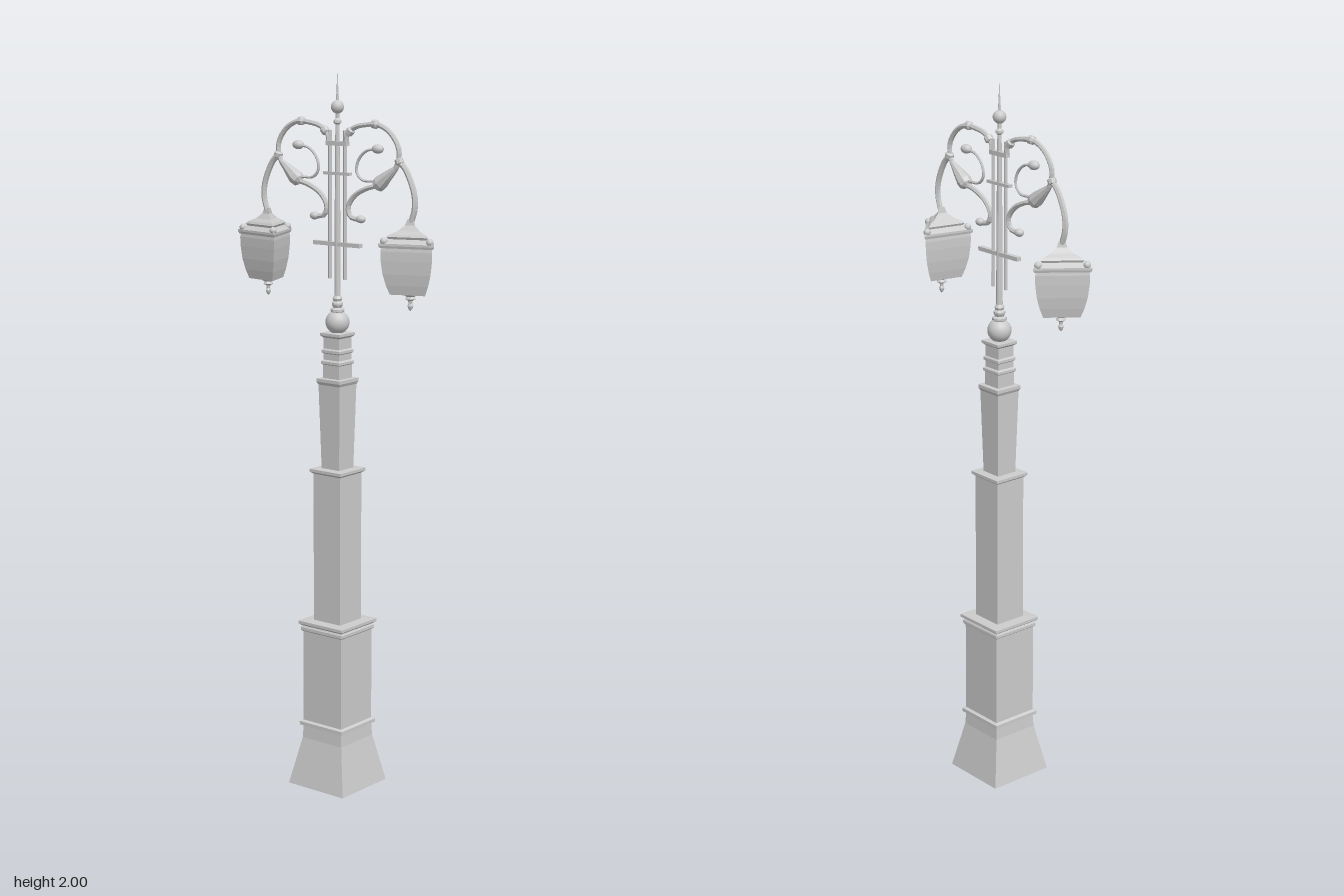
import * as THREE from 'three';

const grey = new THREE.MeshStandardMaterial({ color: 0xcccccc, flatShading: true, side: THREE.DoubleSide });
const smooth = new THREE.MeshStandardMaterial({ color: 0xcccccc });
const rad = THREE.MathUtils.degToRad;

function add(parent, name, geometry, x = 0, y = 0, z = 0, material = grey) {
  const mesh = new THREE.Mesh(geometry, material);
  mesh.name = name;
  mesh.position.set(x, y, z);
  parent.add(mesh);
  return mesh;
}

// Turned or polygonal solid from [radius, height] pairs, bottom to top
function turned(profile, sides, phi = 0, scale = 1) {
  return new THREE.LatheGeometry(profile.map(([r, y]) => new THREE.Vector2(r * scale, y)), sides, phi);
}

const ball = (r) => new THREE.SphereGeometry(r, 14, 10);

// Bent bar through [x, y] points in the plane z = 0
function bar(points, side, radius, segments) {
  const curve = new THREE.CatmullRomCurve3(points.map(([x, y]) => new THREE.Vector3(side * x, y, 0)));
  return new THREE.TubeGeometry(curve, segments, radius, 6);
}

// Short turned piece laid along the line from a to b
function along(parent, name, profile, a, b, side) {
  const from = new THREE.Vector3(side * a[0], a[1], 0);
  const dir = new THREE.Vector3(side * b[0], b[1], 0).sub(from);
  const mesh = add(parent, name, turned(profile(dir.length()), 8), from.x, from.y, 0);
  mesh.quaternion.setFromUnitVectors(new THREE.Vector3(0, 1, 0), dir.normalize());
}

// Three-sided lantern hanging from its apex
function lantern(turn) {
  const lamp = new THREE.Group();
  add(lamp, 'lanternGlass', turned([[0, 1.42], [0.056, 1.42], [0.067, 1.445], [0.076, 1.475], [0.081, 1.51],
    [0.082, 1.535], [0.078, 1.55]], 3));
  add(lamp, 'lanternRoof', turned([[0, 1.544], [0.084, 1.544], [0.088, 1.55], [0.088, 1.556], [0.072, 1.562],
    [0.06, 1.567], [0.066, 1.573], [0.058, 1.579], [0.035, 1.588], [0.016, 1.602], [0.01, 1.618], [0, 1.618]], 3));
  add(lamp, 'lanternFinial', turned([[0, 1.375], [0.005, 1.38], [0.008, 1.388], [0.005, 1.395], [0.006, 1.402],
    [0.014, 1.407], [0.01, 1.413], [0.026, 1.421]], 8));
  for (let i = 0; i < 3; i++) {
    const a = (i * 2 * Math.PI) / 3;
    add(lamp, 'lanternCornerBall', ball(0.01), 0.073 * Math.sin(a), 1.562, 0.073 * Math.cos(a), smooth);
  }
  lamp.rotation.y = turn;
  return lamp;
}

// Scrolled bracket on one side, ending in a lantern
function bracket(side) {
  const arm = new THREE.Group();
  add(arm, 'scrollArm', bar([[0.028, 1.80], [0.035, 1.832], [0.06, 1.85], [0.1, 1.858], [0.135, 1.86], [0.178, 1.84],
    [0.206, 1.80], [0.205, 1.765], [0.19, 1.738], [0.155, 1.705], [0.1, 1.69], [0.058, 1.668], [0.037, 1.637],
    [0.045, 1.612], [0.074, 1.605]], side, 0.007, 44));
  add(arm, 'lanternArm', bar([[0.203, 1.768], [0.225, 1.752], [0.246, 1.717], [0.259, 1.68], [0.26, 1.645],
    [0.249, 1.61]], side, 0.008, 16));
  add(arm, 'innerCurl', bar([[0.137, 1.795], [0.1, 1.79], [0.073, 1.766], [0.066, 1.733], [0.085, 1.712],
    [0.12, 1.71], [0.145, 1.708]], side, 0.004, 22));

  // Scroll ends
  add(arm, 'curlBud', ball(0.014), side * 0.137, 1.796, 0, smooth).scale.set(1.25, 0.9, 1);
  add(arm, 'scrollBud', ball(0.012), side * 0.08, 1.607, 0, smooth).scale.set(1.2, 0.9, 1);

  // Leaf cup and collars gripping the bars
  along(arm, 'leafCup', (l) => [[0.007, 0], [0.01, l * 0.15], [0.015, l * 0.4], [0.021, l * 0.75],
    [0.019, l * 0.9], [0.007, l]], [0.196, 1.748], [0.13, 1.694], side);
  const collar = (l) => [[0.006, 0], [0.012, l * 0.2], [0.012, l * 0.8], [0.006, l]];
  along(arm, 'armCollar', collar, [0.116, 1.861], [0.138, 1.86], side);
  along(arm, 'armCollar', collar, [0.036, 1.83], [0.05, 1.846], side);
  along(arm, 'armCollar', collar, [0.205, 1.775], [0.212, 1.758], side);

  const lamp = lantern(rad(side > 0 ? 80 : -68));
  lamp.name = 'lantern';
  lamp.position.x = side * 0.248;
  arm.add(lamp);

  // Upright rod beside the central pole
  add(arm, 'sideRod', new THREE.CylinderGeometry(0.005, 0.005, 0.4, 6), side * 0.026, 1.64, 0);
  return arm;
}

export function createModel() {
  const model = new THREE.Group();
  model.name = 'streetLamp';
  const body = new THREE.Group();
  body.name = 'lampPost';
  body.position.x = -0.004;
  model.add(body);

  // Square stepped post, as half width and height
  const square = (profile) => turned(profile, 4, Math.PI / 4, Math.SQRT2);
  add(body, 'plinth', square([[0, 0], [0.098, 0], [0.07, 0.135], [0.068, 0.17], [0, 0.17]]));
  add(body, 'lowerShaft', square([[0.068, 0.14], [0.068, 0.17], [0.076, 0.173], [0.076, 0.183], [0.068, 0.187],
    [0.068, 0.448], [0.073, 0.452], [0.073, 0.46], [0.07, 0.465], [0.078, 0.471], [0.078, 0.479], [0, 0.482]]));
  add(body, 'middleShaft', square([[0.047, 0.478], [0.047, 0.9], [0.055, 0.906], [0.055, 0.914], [0, 0.917]]));
  add(body, 'taperedShaft', square([[0.031, 0.912], [0.037, 1.15], [0.041, 1.158], [0.041, 1.167], [0, 1.17]]));
  add(body, 'neck', square([[0.028, 1.165], [0.028, 1.205], [0.032, 1.208], [0.032, 1.215], [0.027, 1.219],
    [0.027, 1.236], [0.031, 1.239], [0.031, 1.246], [0.027, 1.25], [0.027, 1.28], [0.034, 1.286], [0.034, 1.293],
    [0, 1.295]]));

  // Ball, turned collar and central pole
  add(body, 'neckBall', new THREE.SphereGeometry(0.033, 20, 14), 0, 1.322, 0, smooth);
  add(body, 'centralPole', turned([[0.012, 1.345], [0.02, 1.352], [0.02, 1.358], [0.012, 1.362], [0.016, 1.37],
    [0.016, 1.375], [0.011, 1.38], [0.014, 1.387], [0.009, 1.395], [0.008, 1.6], [0.006, 1.84], [0.005, 1.855],
    [0.011, 1.86], [0.011, 1.866], [0.005, 1.872], [0.005, 1.89]], 10));
  add(body, 'topBall', ball(0.018), 0, 1.902, 0, smooth);
  add(body, 'spire', turned([[0.005, 1.915], [0.003, 1.94], [0, 2]], 6));

  // Cross bars tying the rods to the pole
  for (const [y, length, thick] of [[1.535, 0.16, 0.011], [1.725, 0.09, 0.008], [1.805, 0.07, 0.012]]) {
    add(body, 'crossBar', new THREE.BoxGeometry(length, thick, 0.014), 0, y, 0);
  }

  for (const side of [1, -1]) {
    const arm = bracket(side);
    arm.name = side > 0 ? 'leftBracket' : 'rightBracket';
    body.add(arm);
  }
  return model;
}
